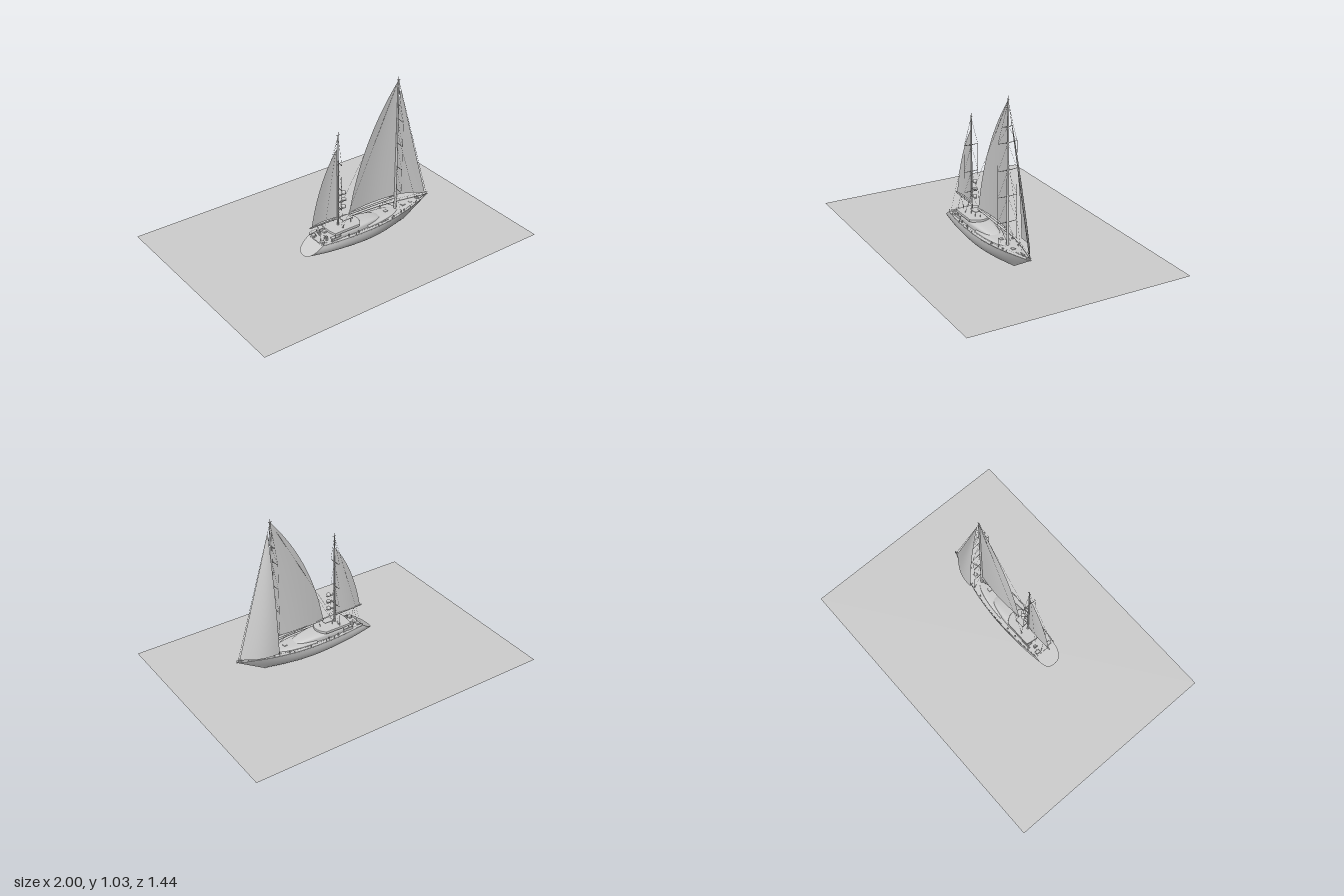
import * as THREE from 'three';
import { ParametricGeometry } from 'three/addons/geometries/ParametricGeometry.js';
import { RoundedBoxGeometry } from 'three/addons/geometries/RoundedBoxGeometry.js';

const V = (x, y, z = 0) => new THREE.Vector3(x, y, z);
const solid = new THREE.MeshStandardMaterial({ color: 0xcccccc });
const thin = new THREE.MeshStandardMaterial({ color: 0xcccccc, side: THREE.DoubleSide });

function add(parent, name, geometry, pos = V(0, 0, 0), material = solid) {
  const mesh = new THREE.Mesh(geometry, material);
  mesh.name = name;
  mesh.position.copy(pos);
  parent.add(mesh);
  return mesh;
}

// Surface from a rule (u, v) -> point
function surface(parent, name, rule, nu, nv) {
  const g = new ParametricGeometry((u, v, t) => t.copy(rule(u, v)), nu, nv);
  g.computeVertexNormals();
  return add(parent, name, g, V(0, 0, 0), thin);
}

// Straight round bar between two points
function rod(parent, name, a, b, r0 = 0.0008, r1 = r0, sides = 5) {
  const g = new THREE.CylinderGeometry(r1, r0, a.distanceTo(b), sides);
  const m = add(parent, name, g, a.clone().lerp(b, 0.5));
  m.quaternion.setFromUnitVectors(V(0, 1, 0), b.clone().sub(a).normalize());
  return m;
}

const box = (p, name, w, h, d, x, y, z = 0) =>
  add(p, name, new RoundedBoxGeometry(w, h, d, 2, Math.min(w, h, d) * 0.3), V(x, y, z));

// Smooth interpolation through [position, value] pairs
function profile(pairs) {
  const c = new THREE.CatmullRomCurve3(pairs.map(([x, y]) => V(x, y)), false, 'centripetal');
  const pts = c.getPoints(120);
  return x => {
    let i = 1;
    while (i < pts.length - 1 && pts[i].x < x) i++;
    const a = pts[i - 1], b = pts[i];
    const k = THREE.MathUtils.clamp((x - a.x) / (b.x - a.x || 1), 0, 1);
    return a.y + (b.y - a.y) * k;
  };
}

const beam = profile([[-0.24, 0.074], [-0.1, 0.09], [0.06, 0.097], [0.2, 0.094], [0.32, 0.08],
  [0.42, 0.06], [0.52, 0.034], [0.6, 0.01], [0.625, 0.0005]]);
const sheer = profile([[-0.24, 0.12], [0.1, 0.117], [0.4, 0.123], [0.625, 0.135]]);
const keel = profile([[-0.335, 0.055], [-0.2, 0.035], [0, 0.014], [0.14, 0.005], [0.3, 0.008], [0.44, 0.022]]);
const edge = (x, side, lift = 0) => V(x, sheer(x) + lift, side * beam(x));

function hullPoint(u, v) {
  const a = v * Math.PI, c = Math.cos(a);
  const depth = Math.pow(Math.max(Math.sin(a), 0), 0.8);
  const xd = -0.24 + 0.865 * u, xk = -0.335 + 0.775 * u;
  return V(xd + (xk - xd) * depth, sheer(xd) + (keel(xk) - sheer(xd)) * depth,
    Math.sign(c) * Math.pow(Math.abs(c), 0.8) * beam(xd));
}

function buildHull(p) {
  surface(p, 'hull', hullPoint, 60, 32);
  surface(p, 'transom', (u, v) => hullPoint(0, v / 2).lerp(hullPoint(0, 1 - v / 2), u), 8, 16);
  surface(p, 'deck', (u, v) => {
    const x = -0.24 + 0.865 * u, k = 2 * v - 1;
    return V(x, sheer(x) + 0.003 * (1 - k * k), k * beam(x));
  }, 50, 8);
  // Toe rail, stanchions and lifelines
  for (const s of [-1, 1]) {
    const along = lift => new THREE.CatmullRomCurve3(
      Array.from({ length: 16 }, (_, i) => edge(-0.235 + i * 0.0567, s, lift)));
    add(p, 'toeRail', new THREE.TubeGeometry(along(0.001), 50, 0.0018, 5));
    add(p, 'lifeline', new THREE.TubeGeometry(along(0.018), 50, 0.0005, 4));
    for (let i = 0; i < 16; i++) {
      const x = -0.235 + i * 0.0567;
      rod(p, 'stanchion', edge(x, s), edge(x, s, 0.018), 0.0007);
    }
  }
}

// Arched house: width and crown height vary along x
function house(p, name, x0, x1, width, crown) {
  surface(p, name, (u, v) => {
    const x = x0 + (x1 - x0) * u, c = Math.cos(v * Math.PI), s = Math.max(Math.sin(v * Math.PI), 0);
    return V(x, 0.117 + (crown(x) - 0.117) * Math.pow(s, 0.4), Math.sign(c) * Math.pow(Math.abs(c), 0.6) * width(x));
  }, 28, 24);
}

function buildCabin(p) {
  house(p, 'deckhouse', -0.1, 0.25,
    profile([[-0.1, 0.066], [0.05, 0.068], [0.14, 0.058], [0.21, 0.038], [0.25, 0.001]]),
    profile([[-0.1, 0.152], [0.06, 0.158], [0.17, 0.148], [0.22, 0.135], [0.25, 0.118]]));
  house(p, 'coachRoof', 0.1, 0.38,
    profile([[0.1, 0.074], [0.22, 0.066], [0.32, 0.045], [0.38, 0.012]]),
    profile([[0.1, 0.132], [0.28, 0.133], [0.38, 0.126]]));
  // Hardtop with its supports
  const plan = new THREE.Shape();
  plan.moveTo(-0.145, -0.068);
  plan.lineTo(0.03, -0.068);
  plan.quadraticCurveTo(0.1, 0, 0.03, 0.068);
  plan.lineTo(-0.145, 0.068);
  plan.quadraticCurveTo(-0.165, 0, -0.145, -0.068);
  const roof = new THREE.ExtrudeGeometry(plan, { depth: 0.01, bevelSize: 0.004, bevelThickness: 0.004, bevelSegments: 2, curveSegments: 16 });
  add(p, 'hardtop', roof.rotateX(-Math.PI / 2), V(0, 0.157, 0));
  for (const s of [-1, 1]) {
    rod(p, 'hardtopPost', V(-0.14, 0.118, s * 0.062), V(-0.14, 0.157, s * 0.062), 0.002);
    box(p, 'cockpitCoaming', 0.07, 0.02, 0.008, -0.135, 0.127, s * 0.066);
    box(p, 'cockpitSeat', 0.05, 0.014, 0.026, -0.13, 0.124, s * 0.045);
    box(p, 'aftLocker', 0.022, 0.014, 0.03, -0.222, 0.127, s * 0.045);
    box(p, 'helmConsole', 0.014, 0.03, 0.016, -0.185, 0.135, s * 0.035);
    const wheel = add(p, 'wheel', new THREE.TorusGeometry(0.012, 0.0012, 6, 20), V(-0.195, 0.145, s * 0.035));
    wheel.rotation.y = Math.PI / 2;
    for (const x of [-0.05, 0.02, 0.3, 0.4])
      add(p, 'winch', new THREE.CylinderGeometry(0.004, 0.005, 0.012, 12), V(x, 0.127, s * (beam(x) - 0.013)));
  }
  // Small table on the roof, hatches and foredeck gear
  box(p, 'roofTable', 0.065, 0.004, 0.05, -0.02, 0.199);
  for (const x of [-0.045, 0.005]) for (const z of [-0.02, 0.02])
    rod(p, 'roofTableLeg', V(x, 0.168, z), V(x, 0.199, z), 0.0012);
  for (const x of [0.29, 0.43, 0.49]) box(p, 'hatch', 0.024, 0.006, 0.022, x, x < 0.4 ? 0.134 : 0.129);
  box(p, 'windlass', 0.02, 0.012, 0.014, 0.545, 0.136);
  // Bow rail
  for (const s of [-1, 1]) {
    rod(p, 'bowRail', edge(0.54, s, 0.018), V(0.632, 0.15, 0), 0.0012);
    rod(p, 'bowRailPost', edge(0.6, s), edge(0.6, s, 0.016), 0.001);
  }
  rod(p, 'bowRoller', V(0.59, 0.134), V(0.63, 0.138), 0.004);
}

// Sail between a straight luff and a curved leech, with belly towards -z
function sail(p, name, tack, head, clew, bend, belly) {
  const leech = new THREE.QuadraticBezierCurve3(clew, bend, head);
  surface(p, name, (u, v) => {
    const q = tack.clone().lerp(head, u).lerp(leech.getPoint(u), v);
    q.z -= belly * Math.sin(Math.PI * v) * (1 - u);
    return q;
  }, 28, 14);
}

// Mast with spreaders [height, half width] and shrouds running over their tips
function mast(p, name, x, base, top, r, spreaders, foot) {
  const g = new THREE.Group();
  g.name = name;
  p.add(g);
  rod(g, 'mastPole', V(x, base), V(x, top - 0.02), r, r * 0.6, 16);
  rod(g, 'mastheadAerial', V(x, top - 0.02), V(x, top), 0.0012);
  rod(g, 'mastheadCrane', V(x - 0.012, top - 0.02), V(x + 0.012, top - 0.02), 0.0018);
  for (const s of [-1, 1]) {
    let prev = V(x, 0.12, s * foot);
    for (const [y, w] of spreaders) {
      const tip = V(x - 0.006, y, s * w);
      rod(g, 'spreader', V(x, y), tip, 0.0025, 0.0015, 6);
      rod(g, 'shroud', prev, tip);
      rod(g, 'diagonalShroud', prev, V(x, y), 0.0005);
      prev = tip;
    }
    rod(g, 'topShroud', prev, V(x, top - 0.03));
  }
}

function buildRig(p) {
  mast(p, 'mainMast', 0.366, 0.12, 1.03, 0.0085,
    [[0.27, 0.062], [0.43, 0.062], [0.59, 0.062], [0.755, 0.062], [0.85, 0.036]], 0.062);
  mast(p, 'mizzenMast', -0.075, 0.12, 0.8, 0.006,
    [[0.3, 0.046], [0.43, 0.046], [0.6, 0.046]], 0.062);

  sail(p, 'mainSail', V(0.357, 0.222), V(0.36, 1.0), V(0.01, 0.222), V(0.09, 0.67), 0.014);
  sail(p, 'mizzenSail', V(-0.083, 0.227), V(-0.081, 0.695), V(-0.267, 0.227), V(-0.215, 0.52), 0.008);
  sail(p, 'jib', V(0.608, 0.15), V(0.385, 0.94), V(0.38, 0.155, -0.084), V(0.383, 0.55, -0.072), 0.028);

  rod(p, 'mainBoom', V(0.36, 0.208), V(0.01, 0.217), 0.0075, 0.006, 12);
  rod(p, 'mizzenBoom', V(-0.078, 0.219), V(-0.28, 0.222), 0.0055, 0.0045, 12);
  rod(p, 'mainSheet', V(0.04, 0.215), V(0.03, 0.168), 0.001);
  rod(p, 'boomVang', V(0.27, 0.209), V(0.36, 0.14), 0.0015);
  for (const s of [-1, 1]) {
    rod(p, 'mizzenSheet', V(-0.22, 0.22), V(-0.225 + s * 0.006, 0.122, s * 0.025), 0.001);
    rod(p, 'runningBackstay', V(0.362, 1.0), V(-0.1, 0.122, s * 0.05), 0.0006);
    rod(p, 'mizzenBackstay', V(-0.075, 0.78), V(-0.235, 0.122, s * 0.062), 0.0005);
  }
  rod(p, 'forestay', V(0.368, 1.0), V(0.622, 0.137), 0.001);
  rod(p, 'innerStay', V(0.368, 0.66), V(0.53, 0.13), 0.0007);

  // Radar platforms and domes on the mizzen mast
  for (const y of [0.275, 0.325, 0.372]) {
    box(p, 'radarBracket', 0.055, 0.004, 0.012, -0.045, y);
    const dome = add(p, 'radarDome', new THREE.SphereGeometry(0.013, 16, 12), V(-0.032, y + 0.011, 0));
    if (y === 0.325) dome.scale.set(1.2, 0.45, 1.2);
  }
}

export function createModel() {
  const model = new THREE.Group();
  model.name = 'sailingYachtOnWater';
  const sea = new THREE.PlaneGeometry(2, 1.44).rotateX(-Math.PI / 2);
  add(model, 'waterPlane', sea, V(0, 0, 0), thin);
  const yacht = new THREE.Group();
  yacht.name = 'yacht';
  yacht.position.z = 0.119;
  model.add(yacht);
  buildHull(yacht);
  buildCabin(yacht);
  buildRig(yacht);
  return model;
}
